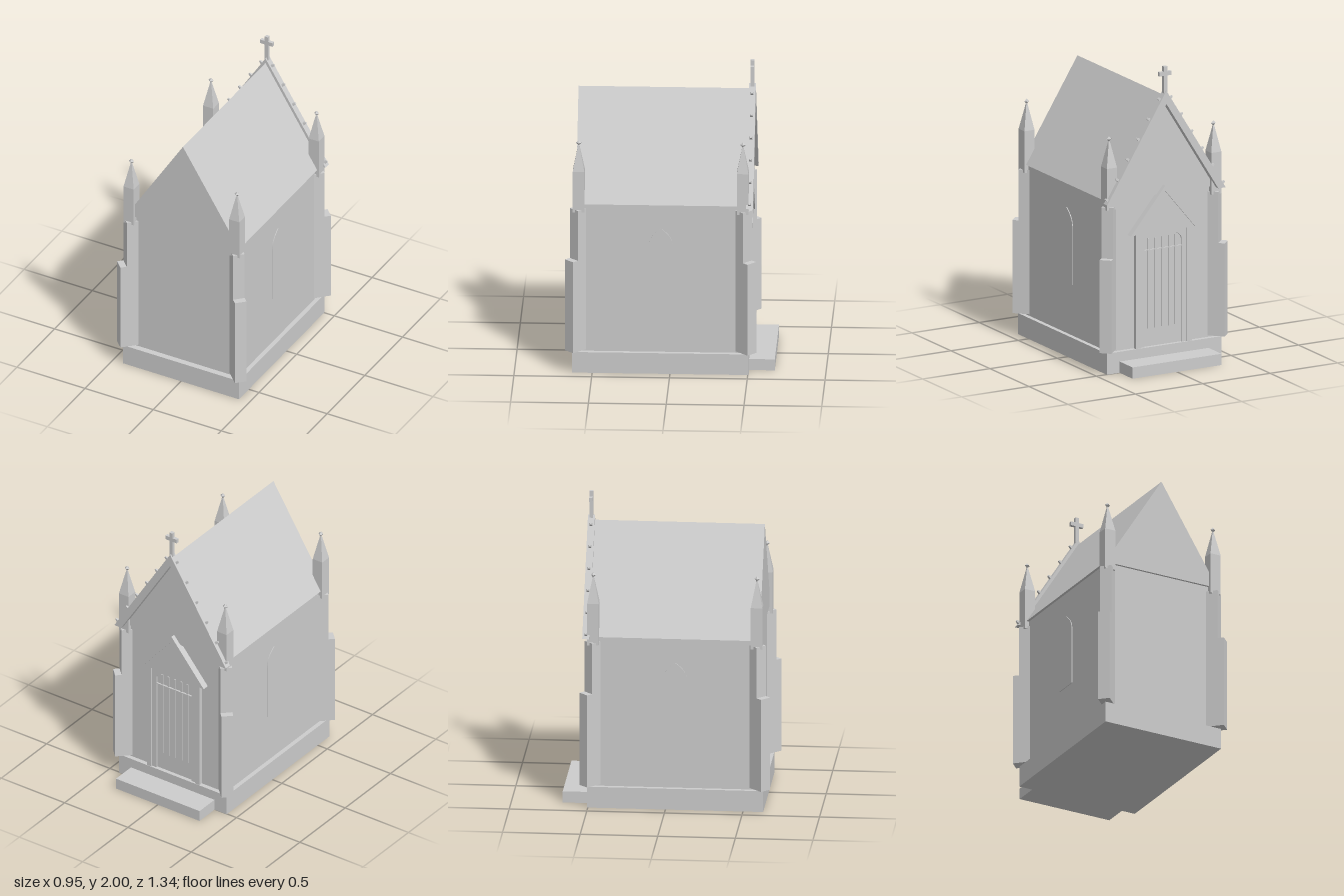
import * as THREE from 'three';

export function createModel() {
  const model = new THREE.Group();
  model.name = 'chapel';
  const stone = new THREE.MeshStandardMaterial({ color: 0xcccccc });
  stone.name = 'stone';
  stone.flatShading = true;

  const MID = 0.06; // middle of the chapel body along z

  function add(name, geometry, x = 0, y = 0, z = 0, parent = model) {
    const mesh = new THREE.Mesh(geometry, stone);
    mesh.name = name;
    mesh.position.set(x, y, z);
    parent.add(mesh);
    return mesh;
  }
  // Box given by its limits on each axis
  function block(name, x0, x1, y0, y1, z0, z1, parent = model) {
    return add(name, new THREE.BoxGeometry(x1 - x0, y1 - y0, z1 - z0),
      (x0 + x1) / 2, (y0 + y1) / 2, (z0 + z1) / 2, parent);
  }
  // Outline in the xy plane, extruded along +z
  function plate(points, depth) {
    const shape = new THREE.Shape(points.map(([x, y]) => new THREE.Vector2(x, y)));
    return new THREE.ExtrudeGeometry(shape, { depth, bevelEnabled: false });
  }
  // Pointed arch outline
  function lancet(half, bottom, spring, apex) {
    const s = new THREE.Shape();
    const bulge = spring + (apex - spring) * 0.6;
    s.moveTo(-half, bottom);
    s.lineTo(half, bottom);
    s.lineTo(half, spring);
    s.quadraticCurveTo(half, bulge, 0, apex);
    s.quadraticCurveTo(-half, bulge, -half, spring);
    s.closePath();
    return s;
  }

  // Base, step, walls and roof
  block('plinth', -0.425, 0.425, 0, 0.14, -0.505, 0.63);
  block('doorStep', -0.33, 0.33, 0, 0.075, -0.67, -0.505);
  block('walls', -0.395, 0.395, 0.14, 1.145, -0.475, 0.59);
  add('roof', plate([[-0.413, 1.145], [0.413, 1.145], [0, 1.805]], 1.095), 0, 0, -0.49);

  // Stepped diagonal buttresses with pinnacles at the four corners
  const spire = new THREE.CylinderGeometry(0.006, 0.0375 * Math.SQRT2, 0.17, 4).rotateY(Math.PI / 4);
  for (const sx of [-1, 1]) for (const sz of [-1, 1]) {
    const corner = new THREE.Group();
    corner.name = 'cornerTower';
    model.add(corner);
    const turn = -sx * sz * Math.PI / 4;
    add('lowerButtress', new THREE.BoxGeometry(0.134, 0.62, 0.078),
      sx * 0.4, 0.46, MID + sz * 0.54, corner).rotation.y = turn;
    add('upperButtress', new THREE.BoxGeometry(0.092, 0.34, 0.078),
      sx * 0.385, 0.94, MID + sz * 0.525, corner).rotation.y = turn;
    const px = sx * 0.3875, pz = MID + sz * 0.5275;
    add('pinnacleShaft', new THREE.BoxGeometry(0.075, 0.26, 0.075), px, 1.24, pz, corner);
    for (const a of [-1, 1]) for (const b of [-1, 1])
      add('shaftFoot', new THREE.BoxGeometry(0.018, 0.02, 0.018),
        px + a * 0.0285, 1.102, pz + b * 0.0285, corner);
    add('spire', spire, px, 1.455, pz, corner);
    add('finialStem', new THREE.CylinderGeometry(0.005, 0.005, 0.04, 6), px, 1.545, pz, corner);
    add('finial', new THREE.OctahedronGeometry(0.018), px, 1.557, pz, corner);
  }

  // Gable coping with crockets along its slopes
  add('gableCoping', plate([[0, 1.84], [-0.44, 1.137], [-0.385, 1.137], [0, 1.752],
    [0.385, 1.137], [0.44, 1.137]], 0.045), 0, 0, -0.535);
  const crocket = new THREE.CylinderGeometry(0.007, 0.014, 0.026, 4).rotateY(Math.PI / 4);
  const slope = Math.atan2(0.703, 0.44);
  for (const side of [-1, 1]) for (let i = 0; i < 6; i++) {
    const y = 1.783 - i * 0.124;
    const x = (1.84 - y) * 0.626 + 0.008;
    add('crocket', crocket, side * x, y + 0.004, -0.512).rotation.z = -side * slope;
  }

  // Cross on the gable
  block('crossPost', -0.012, 0.012, 1.8, 2, -0.525, -0.501);
  block('crossArm', -0.045, 0.045, 1.938, 1.965, -0.524, -0.502);

  // Doorway: jambs, slatted door and gabled hood
  const doorway = new THREE.Group();
  doorway.name = 'doorway';
  model.add(doorway);
  for (const side of [-1, 1]) {
    add('outerJamb', new THREE.BoxGeometry(0.035, 0.78, 0.03), side * 0.19, 0.53, -0.487, doorway);
    add('innerJamb', new THREE.BoxGeometry(0.035, 0.78, 0.018), side * 0.156, 0.53, -0.482, doorway);
  }
  const surround = new THREE.Shape([[-0.172, 0.78], [0.172, 0.78], [0.172, 0.93], [-0.172, 0.93]]
    .map(([x, y]) => new THREE.Vector2(x, y)));
  surround.holes.push(lancet(0.14, 0.785, 0.82, 0.915));
  add('doorArch', new THREE.ExtrudeGeometry(surround, { depth: 0.018, bevelEnabled: false }),
    0, 0, -0.491, doorway);
  block('door', -0.14, 0.14, 0.14, 0.9, -0.479, -0.474, doorway);
  for (let i = -2; i <= 2; i++)
    block('doorSlat', i * 0.05 - 0.007, i * 0.05 + 0.007, 0.26, 0.86, -0.485, -0.478, doorway);
  add('doorHood', plate([[-0.25, 0.9], [0.25, 0.9], [0, 1.2]], 0.04), 0, 0, -0.512, doorway);
  add('hoodMoulding', plate([[0, 1.205], [-0.255, 0.9], [-0.225, 0.9], [0, 1.17],
    [0.225, 0.9], [0.255, 0.9]], 0.048), 0, 0, -0.52, doorway);

  // Pointed window panels on the side walls
  for (const side of [-1, 1]) {
    const geometry = new THREE.ExtrudeGeometry(lancet(0.08, 0.48, 0.855, 0.98),
      { depth: 0.006, bevelEnabled: false });
    add('sideWindow', geometry, side * 0.394, 0, MID).rotation.y = side * Math.PI / 2;
  }

  return model;
}
